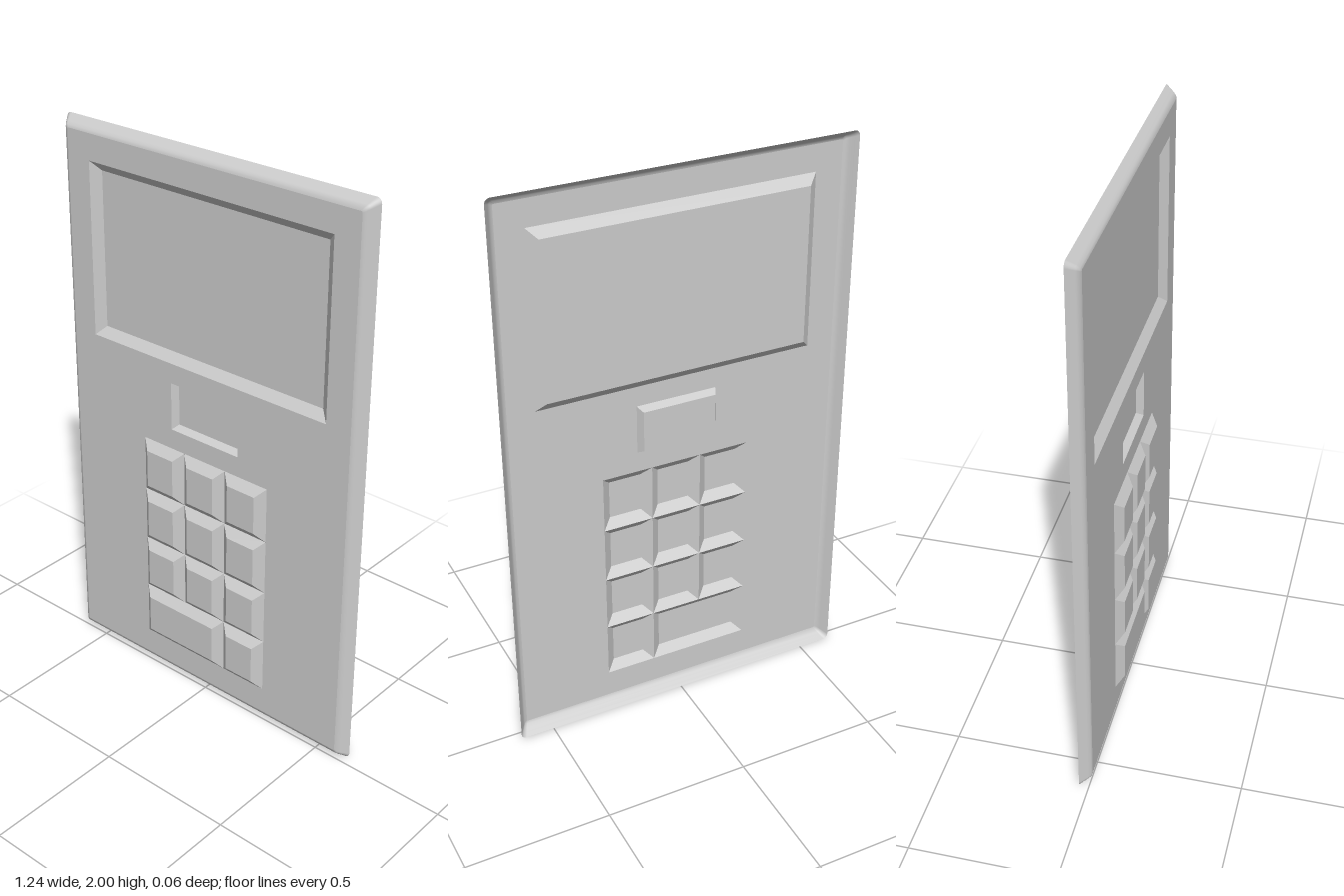
import * as THREE from 'three';

const FRONT = 0.006, BACK = -0.0325, KEY = 0.0325;
const material = new THREE.MeshStandardMaterial({ color: 0xcccccc, side: THREE.DoubleSide });

// Counter-clockwise rectangle loop at depth z, with optional corner radius
function loop([x0, x1, y0, y1], inset, z, r = 0) {
  const l = x0 + inset, rt = x1 - inset, b = y0 + inset, t = y1 - inset;
  const corners = [[rt - r, t - r], [l + r, t - r], [l + r, b + r], [rt - r, b + r]];
  const steps = r ? 5 : 0, pts = [];
  corners.forEach(([x, y], i) => {
    for (let s = 0; s <= steps; s++) {
      const a = (i + (steps ? s / steps : 0)) * Math.PI / 2;
      pts.push(new THREE.Vector3(x + r * Math.cos(a), y + r * Math.sin(a), z));
    }
  });
  return pts;
}

// Skin between loops running from the outside in, optionally closed by a cap
function loft(name, loops, { cap = true, smooth = false } = {}) {
  const n = loops[0].length, index = [];
  for (let k = 0; k < loops.length - 1; k++) {
    for (let i = 0; i < n; i++) {
      const j = (i + 1) % n, a = k * n + i, b = k * n + j;
      index.push(a, b, b + n, a, b + n, a + n);
    }
  }
  if (cap) {
    const o = (loops.length - 1) * n;
    for (let i = 1; i < n - 1; i++) index.push(o, o + i, o + i + 1);
  }
  let geo = new THREE.BufferGeometry().setFromPoints(loops.flat());
  geo.setIndex(index);
  if (!smooth) geo = geo.toNonIndexed();
  geo.computeVertexNormals();
  const mesh = new THREE.Mesh(geo, material);
  mesh.name = name;
  return mesh;
}

export function createModel() {
  const group = new THREE.Group();
  group.name = 'keypadPanel';

  const panel = [-0.62, 0.62, 0, 2];
  const screen = [-0.49, 0.49, 1.26, 1.872];
  const slot = [-0.145, 0.142, 1.015, 1.188];
  const pad = [-0.267, 0.267, 0.135, 0.942];

  // Front plate with openings for the recesses and the keys
  const plate = new THREE.Shape(loop(panel, 0.037, 0, 0.005));
  for (const hole of [screen, slot, pad]) plate.holes.push(new THREE.Path(loop(hole, 0, 0).reverse()));
  const face = new THREE.Mesh(new THREE.ShapeGeometry(plate), material);
  face.position.z = FRONT;
  face.name = 'frontPlate';
  group.add(face);

  // Rounded rim sloping back to the open rear edge
  group.add(loft('rim', [
    loop(panel, 0, BACK, 0.018),
    loop(panel, 0.010, -0.019, 0.015),
    loop(panel, 0.019, -0.006, 0.012),
    loop(panel, 0.027, 0.003, 0.009),
    loop(panel, 0.037, FRONT, 0.005),
  ], { cap: false, smooth: true }));

  // Sunken display and smaller window below it
  group.add(loft('display', [loop(screen, 0, FRONT), loop(screen, 0.032, -0.02)]));
  group.add(loft('window', [loop(slot, 0, FRONT), loop(slot, 0.014, -0.018)]));

  // Bevelled keys, with one double-width key in the bottom row
  const keys = new THREE.Group();
  keys.name = 'keys';
  const w = (pad[1] - pad[0]) / 3, h = (pad[3] - pad[2]) / 4;
  for (let row = 0; row < 4; row++) {
    for (let col = 0; col < 3; col++) {
      if (row === 0 && col === 1) continue;
      const span = row === 0 && col === 0 ? 2 : 1;
      const x = pad[0] + col * w, y = pad[2] + row * h;
      const rect = [x, x + span * w, y, y + h];
      keys.add(loft(span === 2 ? 'wideKey' : 'key', [loop(rect, 0, FRONT), loop(rect, 0.032, KEY)]));
    }
  }
  group.add(keys);
  return group;
}
